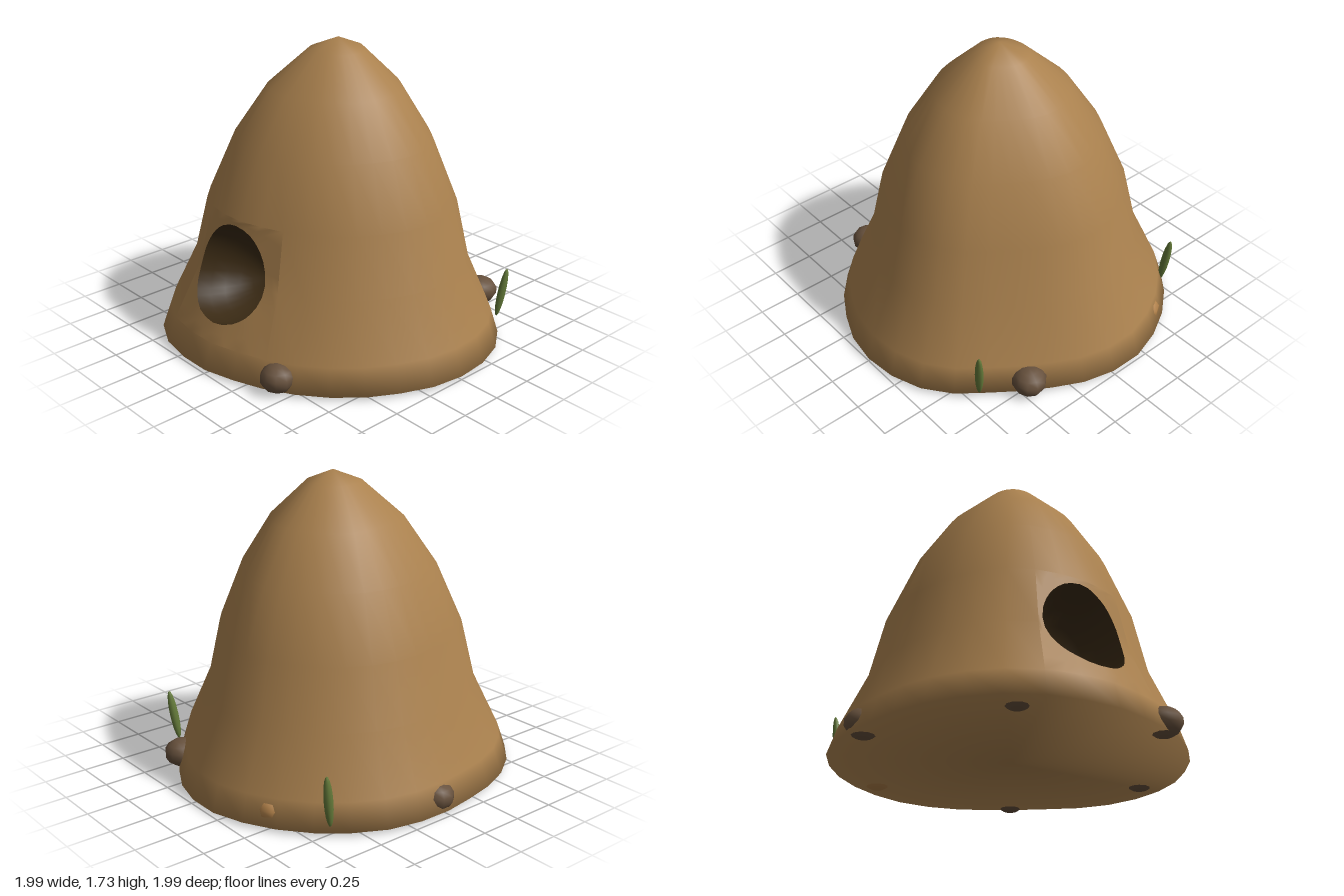
import * as THREE from 'three';
import { mergeVertices } from 'three/addons/utils/BufferGeometryUtils.js';

const mat = (name, color, side = THREE.FrontSide) => {
  const m = new THREE.MeshStandardMaterial({ color, side });
  m.name = name;
  return m;
};

// Mound: profile rows [scale, y] and an uneven outline, one radius per column
const ROWS = [[1, 0.02], [0.95, 0.17], [0.8, 0.49], [0.72, 0.83], [0.57, 1.18], [0.385, 1.46], [0.16, 1.665], [0, 1.73]];
const OUTLINE = [
  0.99, 0.96, 0.925, 0.912, 0.92, 0.96, 0.99, 1, 1, 0.99, 0.97, 0.963, 0.955, 0.953, 0.955, 0.965,
  0.995, 1.015, 1.04, 1.045, 1.03, 1.01, 0.986, 0.97, 0.98, 0.995, 1.01, 1.01, 1.01, 1.01, 1.01, 1.01];
const COLS = OUTLINE.length;

function gridPoint(u, v) {
  const a = (u % COLS) / COLS * Math.PI * 2;
  const r = OUTLINE[u % COLS] * ROWS[v][0];
  return new THREE.Vector3(Math.cos(a) * r, ROWS[v][1], Math.sin(a) * r);
}

// Point on the faceted surface at fractional column u and row v
function surface(u, v) {
  const u0 = Math.floor(u), v0 = Math.min(Math.floor(v), ROWS.length - 2);
  const low = gridPoint(u0, v0).lerp(gridPoint(u0 + 1, v0), u - u0);
  const high = gridPoint(u0, v0 + 1).lerp(gridPoint(u0 + 1, v0 + 1), u - u0);
  return low.lerp(high, v - v0);
}

function toGeometry(triangles) {
  const g = new THREE.BufferGeometry().setFromPoints(triangles);
  const merged = mergeVertices(g, 1e-4);
  merged.computeVertexNormals();
  return merged;
}

// Rings around the entrance, blending from a square block of cells (0) to an oval (1)
const RING = 32;
function entranceRing(t) {
  const pts = [];
  for (let i = 0; i < RING; i++) {
    const side = Math.floor(i / 8), k = (i % 8) / 4 - 1;
    const [sx, sy] = [[1, k], [-k, 1], [-1, -k], [k, -1]][side];
    const len = Math.hypot(sx, sy);
    const u = THREE.MathUtils.lerp(16 + 2 * sx, 16.2 + 1.66 * sx / len, t);
    const v = THREE.MathUtils.lerp(2 + sy, 2.1 + 0.8 * sy / len, t);
    pts.push(surface(u, v));
  }
  return pts;
}

function stitch(tris, outer, inner) {
  for (let i = 0; i < RING; i++) {
    const j = (i + 1) % RING;
    tris.push(inner[i], inner[j], outer[j], inner[i], outer[j], outer[i]);
  }
}

function moundGeometry() {
  const tris = [];
  const centre = new THREE.Vector3(0, 0.02, 0);
  for (let u = 0; u < COLS; u++) {
    for (let v = 0; v < ROWS.length - 1; v++) {
      if (u >= 14 && u < 18 && v >= 1 && v < 3) continue; // entrance block
      const a = gridPoint(u, v), b = gridPoint(u + 1, v);
      const c = gridPoint(u, v + 1), d = gridPoint(u + 1, v + 1);
      if (v === ROWS.length - 2) tris.push(a, c, b);
      else tris.push(a, c, d, a, d, b);
    }
    tris.push(centre, gridPoint(u, 0), gridPoint(u + 1, 0)); // flat underside
  }
  const rings = [0, 0.5, 1].map(entranceRing);
  stitch(tris, rings[0], rings[1]);
  stitch(tris, rings[1], rings[2]);
  const g = toGeometry(tris);
  // Soft normals around the bottom rim
  const p = g.attributes.position;
  for (let i = 0; i < p.count; i++) {
    const r = Math.hypot(p.getX(i), p.getZ(i));
    if (p.getY(i) < 0.021 && r > 0.5) g.attributes.normal.setXYZ(i, p.getX(i) / r * 0.91, -0.41, p.getZ(i) / r * 0.91);
  }
  return g;
}

// Hollow behind the entrance: the oval shrinks inward along a quarter circle
function hollowGeometry() {
  const tris = [];
  const oval = entranceRing(1);
  const mid = oval.reduce((s, p) => s.add(p), new THREE.Vector3()).divideScalar(RING);
  const inward = new THREE.Vector3(0.94, -0.34, 0);
  let last = oval;
  for (let k = 1; k <= 6; k++) {
    const a = k / 6 * Math.PI / 2;
    const next = oval.map((p) => p.clone().sub(mid).multiplyScalar(Math.cos(a)).add(mid)
      .addScaledVector(inward, Math.sin(a) * 0.35));
    stitch(tris, last, next);
    last = next;
  }
  return toGeometry(tris);
}

export function createModel() {
  const model = new THREE.Group();
  model.name = 'earthMound';
  const earth = mat('earth', 0xaa814e);
  const dark = mat('darkHollow', 0x3a2a14, THREE.DoubleSide);
  const stone = mat('stone', 0x66503c);
  const clay = mat('clay', 0xb08049);
  const green = mat('grass', 0x647a3a);

  const add = (name, geometry, material) => {
    const mesh = new THREE.Mesh(geometry, material);
    mesh.name = name;
    model.add(mesh);
    return mesh;
  };

  add('mound', moundGeometry(), earth);
  add('entranceHollow', hollowGeometry(), dark);

  // Pebbles in a ring around the foot, mostly sunk into the mound
  const pebble = new THREE.SphereGeometry(1, 10, 7);
  const pebbles = [
    [0.77, 0.45, stone], [0, 0.86, stone], [-0.81, 0.41, stone],
    [-0.76, -0.44, stone], [0.01, -0.89, stone], [0.77, -0.45, clay]];
  for (const [x, z, material] of pebbles) {
    const m = add('pebble', pebble, material);
    m.position.set(x, 0.083, z);
    m.scale.set(0.1, 0.083, 0.105);
    m.rotation.y = Math.atan2(x, z);
  }

  // Two slim grass blades
  const blade = new THREE.SphereGeometry(1, 10, 10);
  for (const [z, lean] of [[0.715, 0.1], [-0.765, -0.06]]) {
    const m = add('grassBlade', blade, green);
    m.position.set(0.655, 0.2, z);
    m.scale.set(0.027, 0.155, 0.022);
    m.rotation.set(lean, 0, -0.13);
  }
  return model;
}
